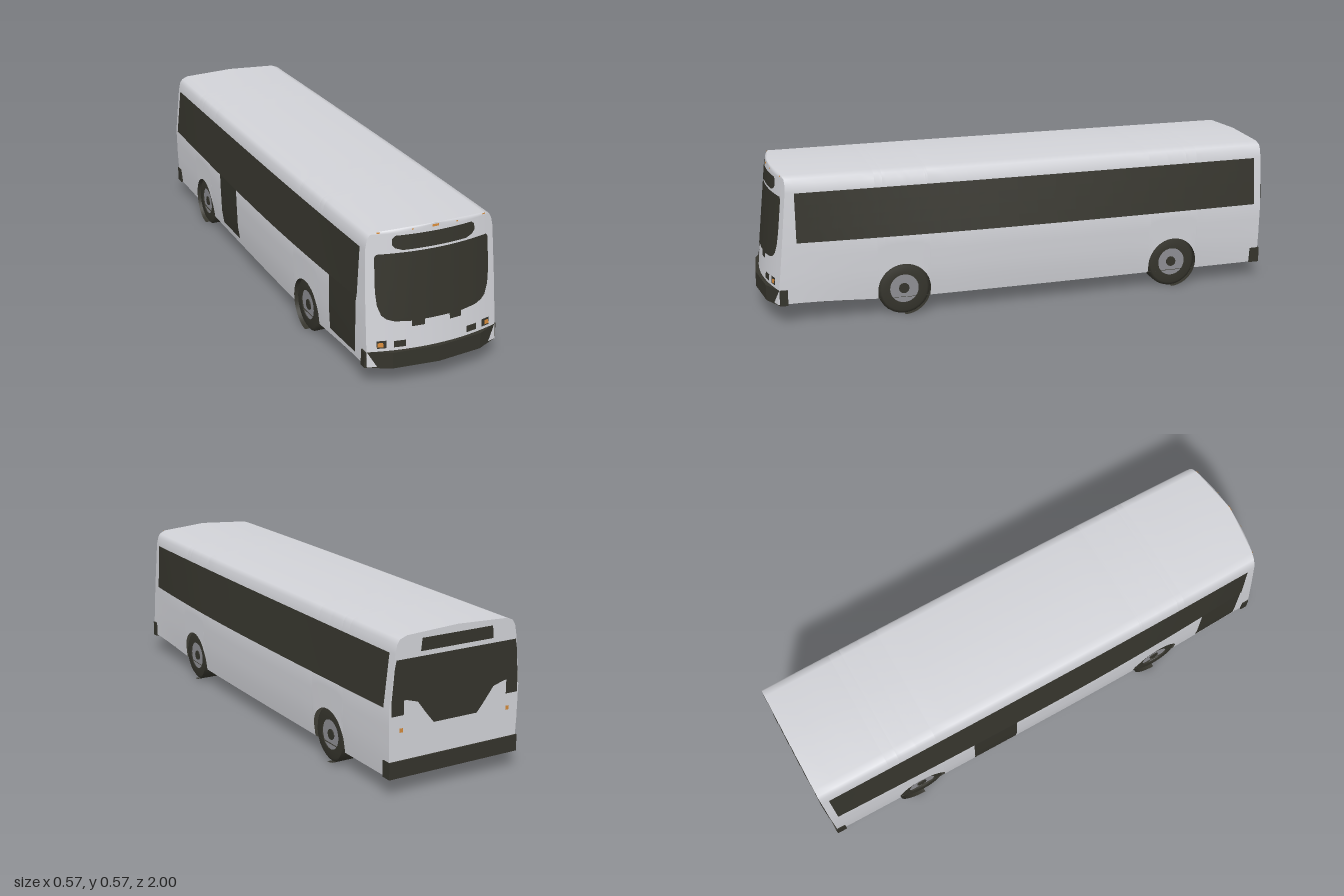
import * as THREE from 'three';

const mat = (name, color) => new THREE.MeshStandardMaterial({ name, color, side: THREE.DoubleSide });
const white = mat('bodySilver', 0xd2d3d8);
const dark = mat('darkGlassAndRubber', 0x35342c);
const grey = mat('wheelGrey', 0x8e8e93);
const orange = mat('amberLamp', 0xd58a3a);

// half cross-section: height, half-width, amount the ends narrow
const PROFILE = [
  [0.065, 0.265, 0.015], [0.15, 0.278, 0.027], [0.31, 0.283, 0.034], [0.5, 0.253, 0.01],
  [0.53, 0.246, 0.009], [0.547, 0.235, 0.008], [0.557, 0.207, 0.006], [0.566, 0, 0],
];
const WHEEL_Z = [0.475, -0.615], R = 0.1, REAR = -0.994, FRONT = 0.93;

function sideX(y, z) {
  let i = 0;
  while (i < PROFILE.length - 2 && y > PROFILE[i + 1][0]) i++;
  const [y0, x0, k0] = PROFILE[i], [y1, x1, k1] = PROFILE[i + 1];
  const t = (y - y0) / (y1 - y0);
  const taper = z > 0 ? (z / FRONT) ** 2 : 0.4 * z * z;
  return x0 + (x1 - x0) * t - taper * (k0 + (k1 - k0) * t);
}
const frontZ = (x, y) => 0.985 - 0.11 * (y - 0.1) - 0.65 * x * x;
const sillY = z => 0.065 + 0.015 * THREE.MathUtils.smoothstep(z, 0.45, 0.85);

// grid surface from f(i, j); the outside is the di x dj side
function grid(nu, nv, f) {
  const pos = [], idx = [];
  for (let j = 0; j <= nv; j++) for (let i = 0; i <= nu; i++) pos.push(...f(i, j));
  for (let j = 0; j < nv; j++) for (let i = 0; i < nu; i++) {
    const a = j * (nu + 1) + i, d = a + nu + 1;
    idx.push(a, a + 1, d + 1, a, d + 1, d);
  }
  const g = new THREE.BufferGeometry();
  g.setAttribute('position', new THREE.Float32BufferAttribute(pos, 3));
  g.setIndex(idx);
  g.computeVertexNormals();
  return g;
}

// body half-section at z, from sill (or wheel arch) to roof ridge
function section(z) {
  let yb = sillY(z);
  for (const c of WHEEL_Z) {
    const d = Math.abs(z - c);
    if (d < R) yb = Math.max(yb, R + Math.sqrt(R * R - d * d));
  }
  const ys = [0, 1, 2, 3, 4].map(k => yb + (0.31 - yb) * k / 4);
  ys.push(0.4, ...PROFILE.slice(3).map(p => p[0]));
  return ys.map(y => [sideX(y, z), y]);
}

export function createModel() {
  const bus = new THREE.Group();
  bus.name = 'bus';
  const add = (name, geo, m, parent = bus) => {
    const mesh = new THREE.Mesh(geo, m);
    mesh.name = name;
    parent.add(mesh);
    return mesh;
  };

  // body shell with wheel arches
  const zs = [];
  for (let i = 0; i < 24; i++) zs.push(REAR + (0.87 - REAR) * i / 23);
  for (const c of WHEEL_Z) {
    zs.push(c - R - 0.0005, c + R + 0.0005);
    for (let k = 0; k <= 16; k++) zs.push(c + (R - 0.0003) * Math.cos(Math.PI * k / 16));
  }
  zs.sort((a, b) => a - b);
  zs.push(FRONT);
  const rings = zs.map(z => {
    const half = section(z);
    const ring = [...half, ...half.slice(0, -1).reverse().map(([x, y]) => [-x, y])];
    return ring.map(([x, y]) => [x, y, z === FRONT ? frontZ(x, y) : z]);
  });
  add('bodyShell', grid(rings[0].length - 1, rings.length - 1, (i, j) => rings[j][i]), white);

  // end faces, each curved like its end of the body
  const cap = (name, z, dir, zf) => {
    const half = section(z);
    add(name, grid(16, half.length - 1, (i, j) => {
      const [w, y] = half[j], x = dir * w * (i / 8 - 1);
      return [x, y, zf(x, y)];
    }), white);
  };
  cap('frontFace', FRONT, 1, frontZ);
  cap('rearFace', REAR, -1, () => REAR);
  add('underside', grid(1, 20, (i, j) => {
    const z = REAR + (0.94 - REAR) * j / 20, y = sillY(z);
    return [(i * 2 - 1) * sideX(y, Math.min(z, FRONT)), y, z];
  }), dark);

  // thin plates on the ends; rows are [y, xa, xb] or [y, halfWidth]
  const plate = (name, rows, m, rear = false, off = 0.003) => add(name, grid(14, rows.length - 1, (i, j) => {
    const [y, a, b] = rows[j];
    const x0 = b === undefined ? -a : a, x1 = b === undefined ? a : b;
    const t = rear ? 1 - i / 14 : i / 14, x = x0 + (x1 - x0) * t;
    return [x, y, rear ? REAR - off : frontZ(x, y) + off];
  }), m);
  const pair = (name, x0, x1, y0, y1, m, rear, off) => {
    plate(name + 'Left', [[y0, x0, x1], [y1, x0, x1]], m, rear, off);
    plate(name + 'Right', [[y0, -x1, -x0], [y1, -x1, -x0]], m, rear, off);
  };

  // front: windscreen, destination panel, lamps
  plate('windscreen', [[0.235, 0.1], [0.24, 0.155], [0.25, 0.183], [0.265, 0.2], [0.3, 0.213],
    [0.35, 0.218], [0.47, 0.217], [0.48, 0.21]], dark);
  plate('frontPanel', [[0.488, 0.12], [0.497, 0.146], [0.51, 0.157], [0.53, 0.156], [0.54, 0.145]], dark);
  pair('wiperMount', 0.048, 0.095, 0.215, 0.237, dark);
  pair('innerHeadlight', 0.118, 0.16, 0.147, 0.17, dark);
  pair('outerHeadlight', 0.185, 0.218, 0.147, 0.174, dark);
  pair('frontIndicator', 0.197, 0.216, 0.152, 0.168, orange, false, 0.005);
  plate('roofLampCentre', [[0.554, 0.013], [0.562, 0.013]], orange);
  pair('roofLampInner', 0.081, 0.087, 0.554, 0.559, orange);
  pair('roofLampOuter', 0.195, 0.206, 0.552, 0.556, orange);

  // rear: window, panel, lamps
  plate('rearWindow', [[0.238, 0.09], [0.28, 0.125], [0.322, 0.157], [0.335, 0.2],
    [0.34, 0.262], [0.45, 0.252], [0.478, 0.246]], dark, true);
  pair('rearWindowCorner', 0.213, 0.262, 0.285, 0.34, dark, true);
  plate('rearPanel', [[0.495, 0.15], [0.54, 0.145]], dark, true);
  pair('rearIndicator', 0.215, 0.228, 0.225, 0.24, orange, true);

  // side windows and the two doors on the right side
  const sidePlate = (name, s, y0, y1, z0, z1, m) => add(name, grid(4, 24, (i, j) => {
    const t = s > 0 ? j / 24 : 1 - j / 24;
    const y = y0 + (y1 - y0) * i / 4, z = z0 + (z1 - z0) * t;
    return [s * (sideX(y, z) + 0.003), y, z];
  }), m);
  sidePlate('leftWindows', 1, 0.312, 0.498, -0.965, 0.87, dark);
  sidePlate('rightWindows', -1, 0.312, 0.498, -0.965, 0.87, dark);
  sidePlate('rearDoor', -1, 0.095, 0.314, -0.38, -0.19, dark);
  sidePlate('frontDoor', -1, 0.1, 0.314, 0.675, 0.865, dark);

  // bumpers
  const half = [[0.257, 0.91], [0.257, 0.937], [0.17, 0.98]];
  const plan = [...half, [0, 0.999], ...half.slice().reverse().map(([x, z]) => [-x, z])];
  const bumper = new THREE.ExtrudeGeometry(new THREE.Shape(plan.map(([x, z]) => new THREE.Vector2(x, -z))),
    { depth: 0.06, bevelEnabled: false });
  bumper.rotateX(-Math.PI / 2);
  add('frontBumper', bumper, dark).position.y = 0.075;
  add('rearBumper', new THREE.BoxGeometry(0.536, 0.06, 0.04), dark).position.set(0, 0.095, -0.98);

  // wheels: tyre, rim on both faces, hub, and dark arch lining
  const tyre = new THREE.LatheGeometry([[0.055, -0.032], [0.088, -0.032], [0.1, -0.024], [0.1, 0.024],
    [0.088, 0.032], [0.055, 0.032]].map(p => new THREE.Vector2(...p)), 28);
  const rim = new THREE.CylinderGeometry(0.058, 0.058, 0.054, 24);
  const hub = new THREE.CylinderGeometry(0.02, 0.02, 0.062, 12);
  const lining = new THREE.CylinderGeometry(R, R, 0.08, 24, 1, true, Math.PI / 2, Math.PI);
  lining.rotateZ(Math.PI / 2);
  for (const z of WHEEL_Z) for (const s of [1, -1]) {
    const wheel = new THREE.Group();
    wheel.name = (z > 0 ? 'front' : 'rear') + 'Wheel' + (s > 0 ? 'Left' : 'Right');
    add('tyre', tyre, dark, wheel);
    add('rim', rim, grey, wheel);
    add('hub', hub, dark, wheel);
    wheel.rotation.z = -s * Math.PI / 2;
    wheel.position.set(s * 0.23, R, z);
    bus.add(wheel);
    const arch = add('wheelArch', lining, dark);
    arch.position.set(s * 0.233, R, z);
    // keep the half tube opening downwards
    arch.rotation.x = 0;
  }
  return bus;
}
